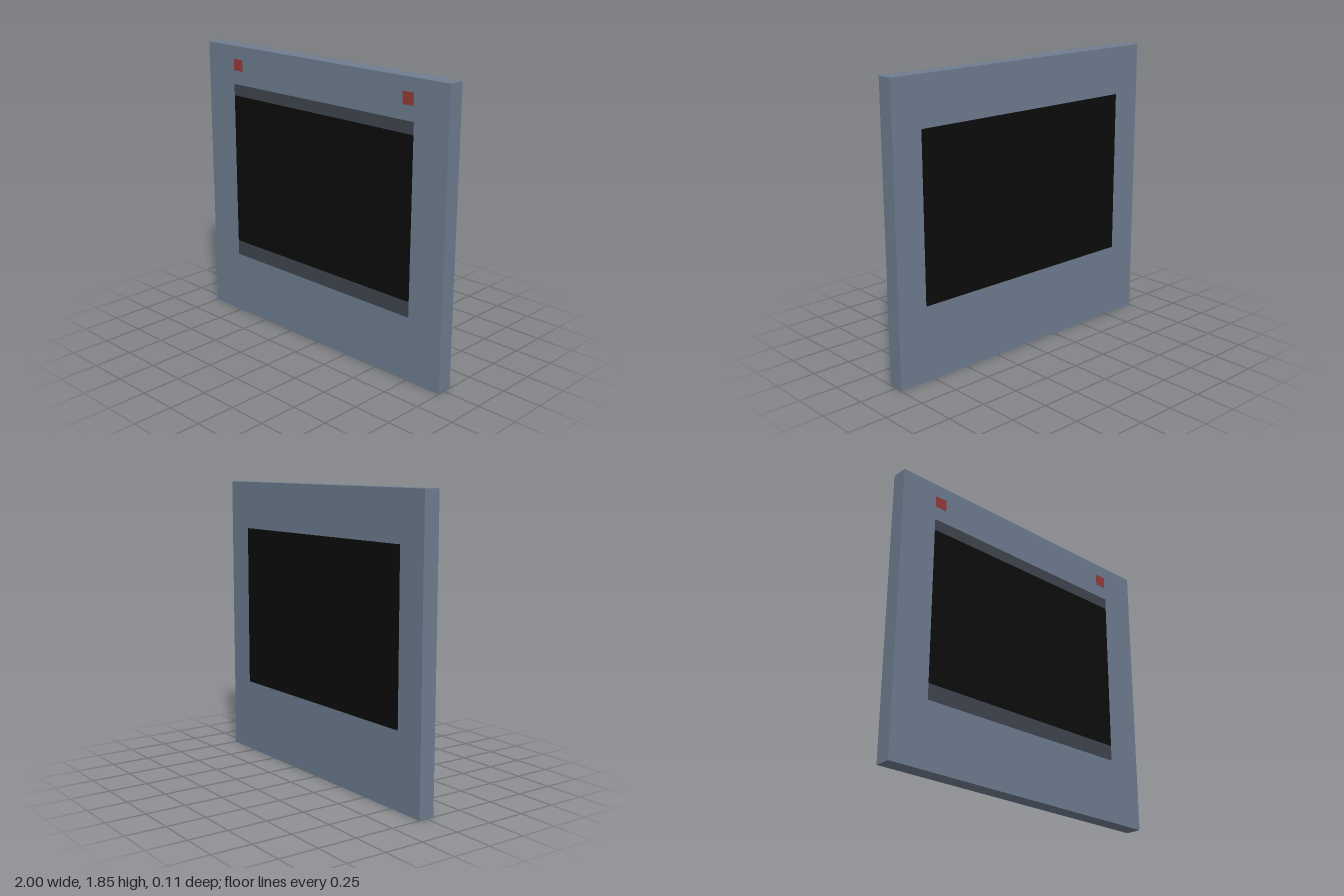
import * as THREE from 'three';

const DEPTH = 0.104;

function box(name, color, w, h, d, x, y, z) {
  const mesh = new THREE.Mesh(
    new THREE.BoxGeometry(w, h, d),
    new THREE.MeshStandardMaterial({ color })
  );
  mesh.name = name;
  mesh.position.set(x, y, z);
  return mesh;
}

// Thin inlay lying on the front (side = 1) or back (side = -1) of the panel
function inlay(name, color, left, right, bottom, top, side, level = 1) {
  const t = 0.002 * level;
  return box(name, color, right - left, top - bottom, t,
    (left + right) / 2, (bottom + top) / 2, side * (DEPTH / 2 + t / 2 - 0.0005));
}

export function createModel() {
  const group = new THREE.Group();
  group.name = 'displayPanel';

  // Main slab
  group.add(box('panel', 0x6e7d90, 2, 1.85, DEPTH, 0, 0.925, 0));

  // Front screen with dark bands above and below
  group.add(inlay('screen', 0x0c0c0c, -0.755, 0.755, 0.515, 1.525, 1));
  group.add(inlay('upperBand', 0x3f464f, -0.755, 0.755, 1.525, 1.6, 1));
  group.add(inlay('lowerBand', 0x3f464f, -0.755, 0.755, 0.415, 0.515, 1));

  // Red indicator squares in the upper corners
  group.add(inlay('rightIndicator', 0x953a3a, -0.755, -0.675, 1.69, 1.765, 1));
  group.add(inlay('leftIndicator', 0x953a3a, 0.67, 0.75, 1.69, 1.765, 1));

  // Rear screen
  group.add(inlay('rearScreen', 0x0c0c0c, -0.8, 0.8, 0.48, 1.54, -1));

  return group;
}
